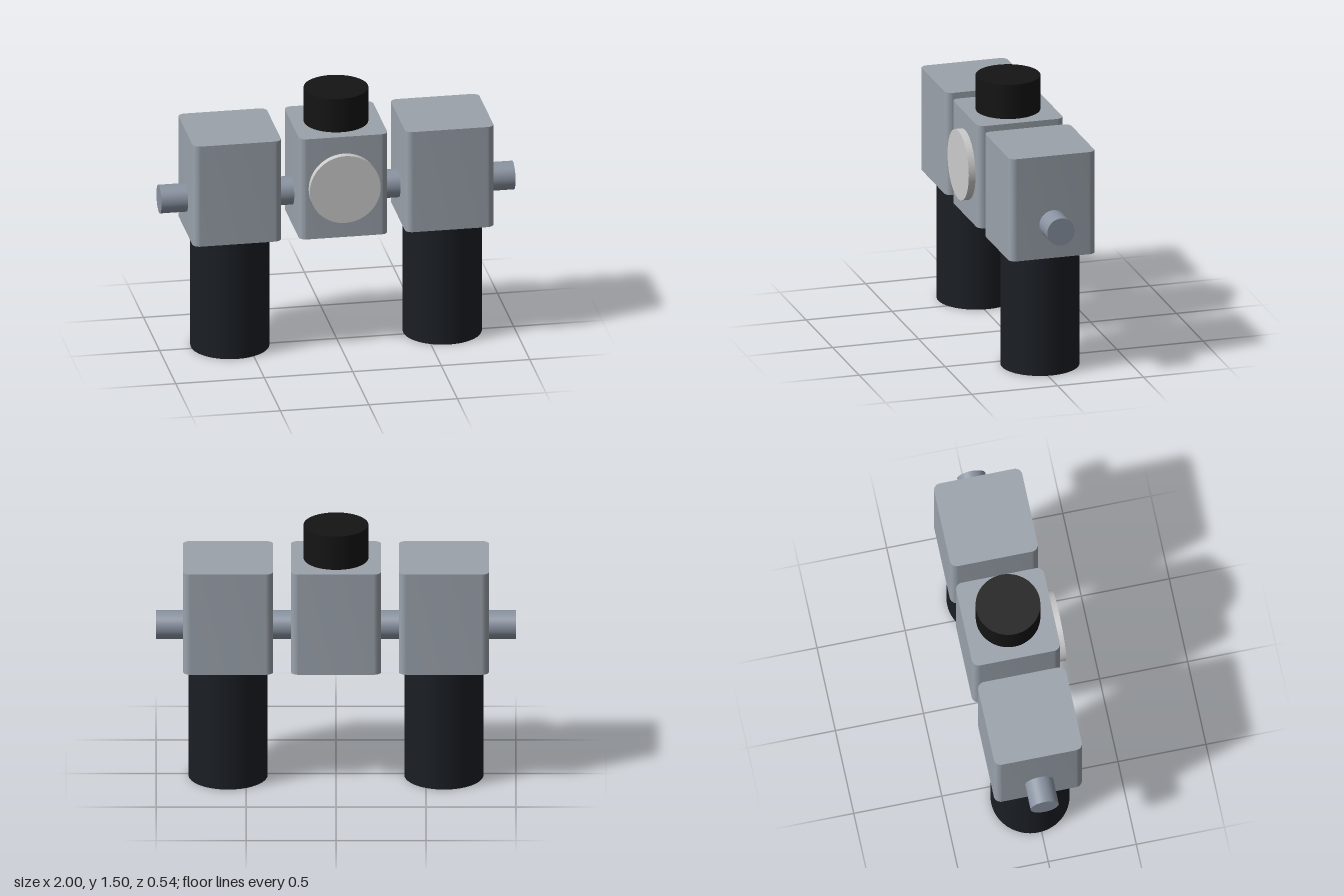
import * as THREE from 'three';
import { toCreasedNormals } from 'three/addons/utils/BufferGeometryUtils.js';

const Z = -0.02; // shared centre line of the blocks

const material = (color) => new THREE.MeshStandardMaterial({ color });
const blockMat = material(0x9aa2ab);
const pipeMat = material(0x8a93a1);
const bowlMat = material(0x1a1e24);
const knobMat = material(0x141414);
const gaugeMat = material(0xcccccc);

// Upright block with rounded vertical edges, base at y = 0
function blockGeometry(width, height, radius) {
  const h = width / 2, c = h - radius;
  const shape = new THREE.Shape();
  shape.absarc(c, c, radius, 0, Math.PI / 2);
  shape.absarc(-c, c, radius, Math.PI / 2, Math.PI);
  shape.absarc(-c, -c, radius, Math.PI, Math.PI * 1.5);
  shape.absarc(c, -c, radius, Math.PI * 1.5, Math.PI * 2);
  const geometry = new THREE.ExtrudeGeometry(shape, { depth: height, bevelEnabled: false, curveSegments: 8 });
  geometry.rotateX(-Math.PI / 2);
  return toCreasedNormals(geometry, 0.6);
}

export function createModel() {
  const model = new THREE.Group();
  model.name = 'filterRegulatorUnit';

  const add = (name, geometry, mat, x, y, z = Z) => {
    const mesh = new THREE.Mesh(geometry, mat);
    mesh.name = name;
    mesh.position.set(x, y, z);
    model.add(mesh);
    return mesh;
  };
  const cylinder = (radius, length) => new THREE.CylinderGeometry(radius, radius, length, 64);

  // Three valve blocks in a row
  const block = blockGeometry(0.5, 0.6, 0.04);
  add('rightBlock', block, blockMat, -0.6, 0.7);
  add('centreBlock', block, blockMat, 0, 0.7);
  add('leftBlock', block, blockMat, 0.6, 0.7);

  // Bowls hanging under the outer blocks
  const bowl = cylinder(0.22, 0.7);
  add('rightBowl', bowl, bowlMat, -0.6, 0.35);
  add('leftBowl', bowl, bowlMat, 0.6, 0.35);

  // Pipe running through all blocks
  add('pipe', cylinder(0.08, 2), pipeMat, 0, 0.9).rotation.z = Math.PI / 2;

  // Adjusting knob and front gauge on the centre block
  add('knob', cylinder(0.18, 0.2), knobMat, 0, 1.4);
  add('gauge', cylinder(0.2, 0.04), gaugeMat, 0, 1, 0.25).rotation.x = Math.PI / 2;

  return model;
}
